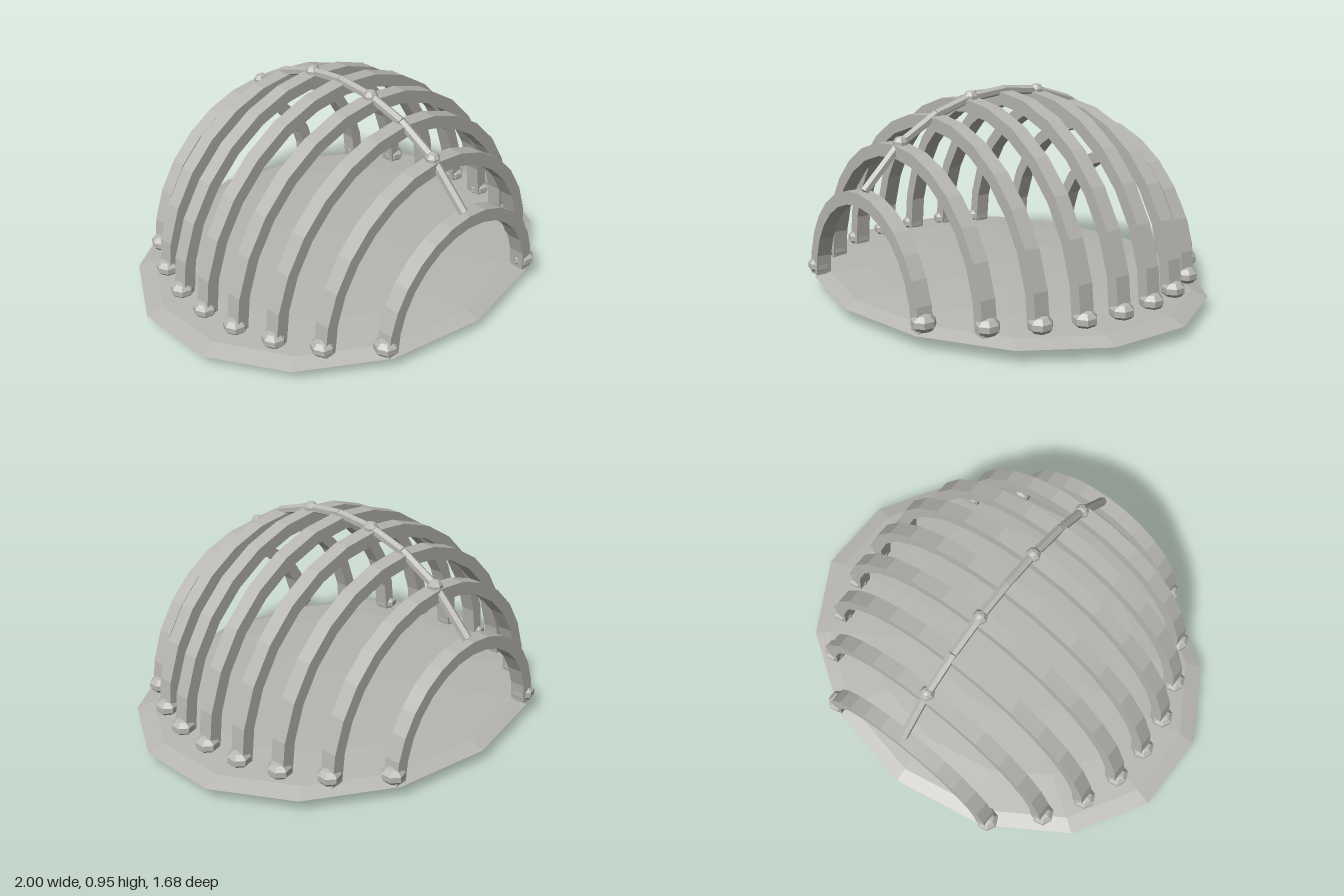
import * as THREE from 'three';

const stone = new THREE.MeshStandardMaterial({ color: 0xb8b6b0, flatShading: true });
stone.name = 'paleGrey';

const FOOT_Y = 0.08;      // height the arches spring from
const RIB_COUNT = 9;
const RIB_GAP = 0.1815;
const ARCH_SIDES = 14;

// outer radius of the dome's cross-section at depth z
const ribRadius = (z) => 0.845 * Math.sqrt(1 - (z / 0.88) ** 2);

function addMesh(parent, name, geometry, x = 0, y = 0, z = 0) {
  const mesh = new THREE.Mesh(geometry, stone);
  mesh.name = name;
  mesh.position.set(x, y, z);
  parent.add(mesh);
  return mesh;
}

// half-ring of rectangular section, faceted
function archGeometry(radius) {
  const points = [];
  const ring = (r, from, to) => {
    const step = Math.sign(to - from);
    for (let i = from; i !== to + step; i += step) {
      const a = (Math.PI * i) / ARCH_SIDES;
      points.push(new THREE.Vector2(r * Math.cos(a), r * Math.sin(a)));
    }
  };
  ring(radius, 0, ARCH_SIDES);
  ring(radius - 0.058, ARCH_SIDES, 0);
  const geometry = new THREE.ExtrudeGeometry(new THREE.Shape(points), { depth: 0.07, bevelEnabled: false });
  return geometry.translate(0, 0, -0.035);
}

// straight bar between two points
function addBar(parent, name, a, b, radius) {
  const dir = b.clone().sub(a);
  const mesh = addMesh(parent, name, new THREE.CylinderGeometry(radius, radius, dir.length(), 6));
  mesh.position.copy(a).add(b).multiplyScalar(0.5);
  mesh.quaternion.setFromUnitVectors(new THREE.Vector3(0, 1, 0), dir.normalize());
}

export function createModel() {
  const model = new THREE.Group();
  model.name = 'ribbedDome';

  // flattened lens-shaped floor
  const floor = new THREE.SphereGeometry(1, 14, 8).rotateY(Math.PI / 2).scale(1.026, 0.062, 0.842);
  addMesh(model, 'floor', floor, 0, 0.062, 0);

  // ribs with a knuckle at each foot
  const knuckle = new THREE.SphereGeometry(1, 7, 5).scale(0.053, 0.041, 0.056);
  const ridgePoints = [];
  for (let i = 0; i < RIB_COUNT; i++) {
    const z = (i - (RIB_COUNT - 1) / 2) * RIB_GAP;
    const radius = ribRadius(z);
    const rib = new THREE.Group();
    rib.name = `rib${i + 1}`;
    rib.position.z = z;
    model.add(rib);
    addMesh(rib, 'arch', archGeometry(radius), 0, FOOT_Y, 0);
    for (const side of [-1, 1]) {
      addMesh(rib, side > 0 ? 'leftKnuckle' : 'rightKnuckle', knuckle, side * (radius - 0.018), 0.117, 0);
    }
    ridgePoints.push(new THREE.Vector3(0, FOOT_Y + radius + 0.003, z));
  }

  // spine along the crown, with a node on every second rib
  const spine = new THREE.Group();
  spine.name = 'spine';
  model.add(spine);
  const node = new THREE.SphereGeometry(0.035, 7, 5);
  ridgePoints.forEach((p, i) => {
    if (i > 0) addBar(spine, 'spineBar', ridgePoints[i - 1], p, 0.021);
    if (i % 2 === 1) addMesh(spine, 'spineNode', node, p.x, p.y - 0.003, p.z);
  });

  return model;
}
